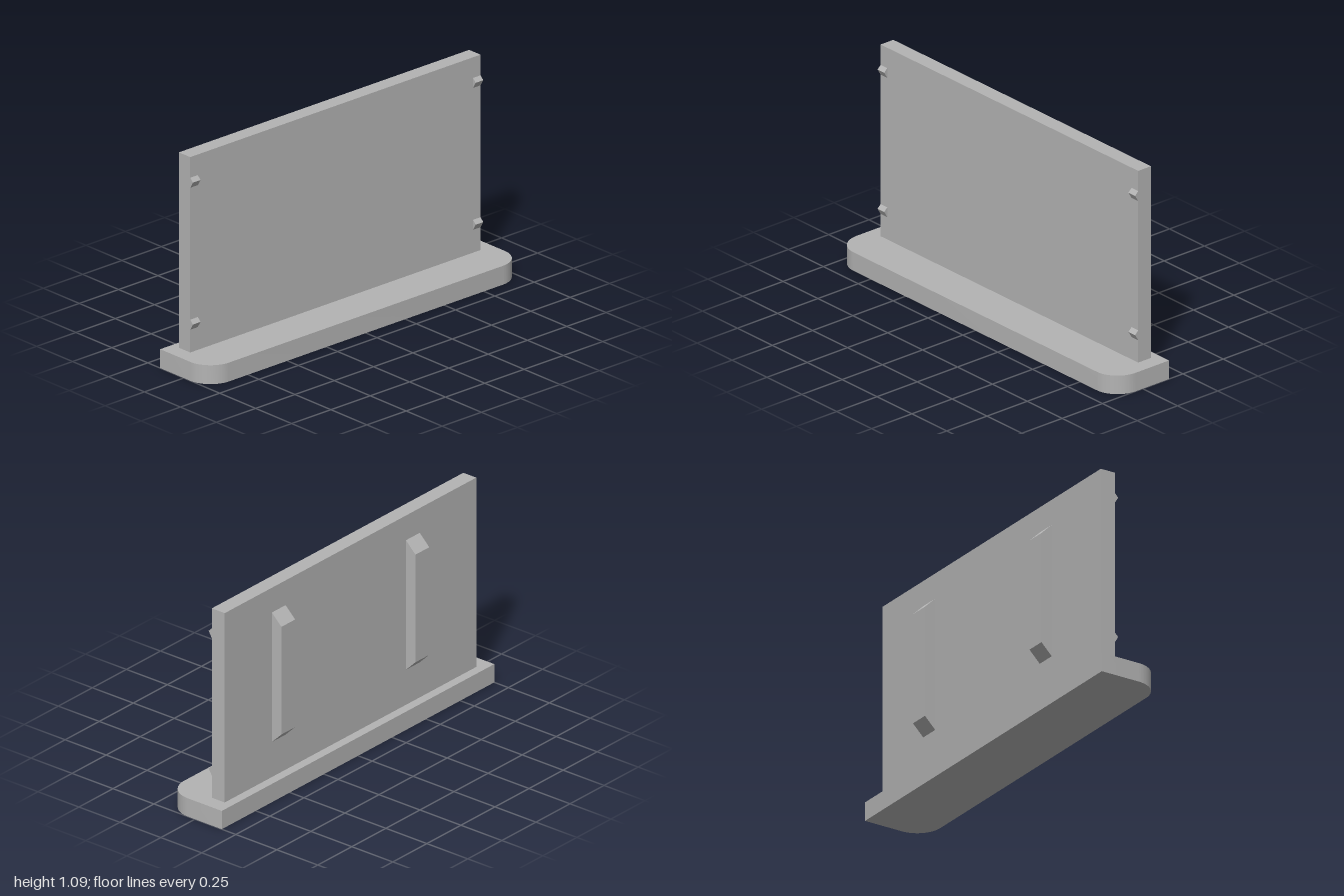
import * as THREE from 'three';
import { toCreasedNormals } from 'three/addons/utils/BufferGeometryUtils.js';

const BASE_TOP = 0.096;
const PANEL_BACK = -0.118, PANEL_FRONT = -0.039;
const PANEL_TOP = 1.09, PANEL_HALF = 0.923;

export function createModel() {
  const group = new THREE.Group();
  const grey = new THREE.MeshStandardMaterial({ color: 0xb3b3b3 });
  grey.name = 'grey';

  const add = (name, geometry) => {
    const mesh = new THREE.Mesh(geometry, grey);
    mesh.name = name;
    group.add(mesh);
    return mesh;
  };

  // Extrudes an x-y profile from z0 to z1
  const addProfile = (name, points, z0, z1) => {
    const shape = new THREE.Shape(points.map(([x, y]) => new THREE.Vector2(x, y)));
    const geometry = new THREE.ExtrudeGeometry(shape, { depth: z1 - z0, bevelEnabled: false });
    add(name, geometry.translate(0, 0, z0));
  };

  // Base plate with two rounded corners on the +x side
  const x0 = -0.164, x1 = 0.174, r = 0.13;
  const outline = new THREE.Shape();
  outline.moveTo(x0, -1);
  outline.lineTo(x1 - r, -1);
  outline.absarc(x1 - r, -1 + r, r, -Math.PI / 2, 0);
  outline.lineTo(x1, 1 - r);
  outline.absarc(x1 - r, 1 - r, r, 0, Math.PI / 2);
  outline.lineTo(x0, 1);
  outline.closePath();
  const base = new THREE.ExtrudeGeometry(outline, { depth: BASE_TOP, bevelEnabled: false, curveSegments: 16 });
  add('base', toCreasedNormals(base.rotateX(-Math.PI / 2), 0.5));

  // Upright panel
  const height = PANEL_TOP - BASE_TOP;
  add('panel', new THREE.BoxGeometry(PANEL_FRONT - PANEL_BACK, height, PANEL_HALF * 2))
    .position.set((PANEL_FRONT + PANEL_BACK) / 2, BASE_TOP + height / 2, 0);

  // Hanging ribs with sloped ends on the -x face
  for (const z of [-0.577, 0.407]) {
    addProfile('rib', [
      [PANEL_BACK, 0.28], [PANEL_BACK, 0.96], [-0.176, 0.903], [-0.176, 0.338],
    ], z, z + 0.101);
  }

  // Small wedge clips at the four corners of the +x face
  for (const y of [0.212, 0.934]) {
    for (const z of [-PANEL_HALF, PANEL_HALF - 0.048]) {
      addProfile('clip', [
        [PANEL_FRONT, y], [-0.02, y + 0.032], [PANEL_FRONT, y + 0.051],
      ], z, z + 0.048);
    }
  }

  return group;
}
